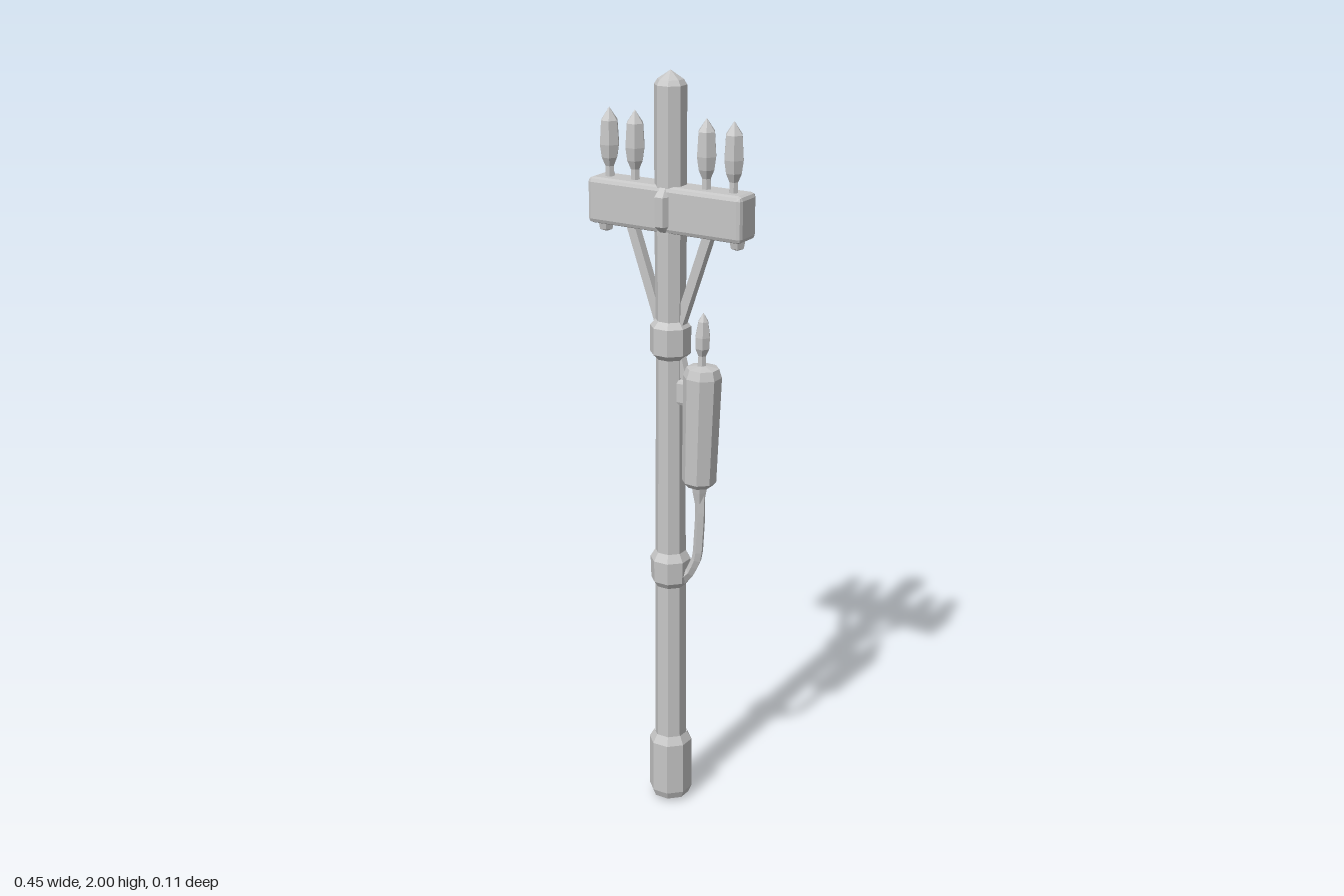
import * as THREE from 'three';
import { RoundedBoxGeometry } from 'three/addons/geometries/RoundedBoxGeometry.js';

export function createModel() {
  const model = new THREE.Group();
  model.name = 'utilityPole';
  const grey = new THREE.MeshStandardMaterial({ color: 0xc6c6c6, flatShading: true });
  grey.name = 'lightGrey';

  const add = (name, geometry, x = 0, y = 0, z = 0, parent = model) => {
    const mesh = new THREE.Mesh(geometry, grey);
    mesh.name = name;
    mesh.position.set(x, y, z);
    parent.add(mesh);
    return mesh;
  };
  // Faceted turned part from [radius, height] pairs, listed bottom to top
  const turned = (profile, sides = 8) => new THREE.LatheGeometry(
    profile.map(([r, y]) => new THREE.Vector2(r, y)), sides, Math.PI / sides);
  // Straight bar between two points
  const bar = (name, a, b, radius, sides = 4) => {
    const from = new THREE.Vector3(...a), to = new THREE.Vector3(...b);
    const mesh = add(name, new THREE.CylinderGeometry(radius, radius, from.distanceTo(to), sides, 1, false, Math.PI / sides));
    mesh.position.copy(from).add(to).multiplyScalar(0.5);
    mesh.quaternion.setFromUnitVectors(new THREE.Vector3(0, 1, 0), to.sub(from).normalize());
    return mesh;
  };

  // Tall post with a pointed cap
  add('post', turned([[0, 0.1], [0.043, 0.1], [0.041, 0.65], [0.038, 1.3], [0.041, 1.6], [0.041, 1.965], [0.033, 1.978], [0, 2]]));

  // Foot sleeve and the two collars
  add('foot', turned([[0, 0], [0.05, 0.01], [0.058, 0.03], [0.058, 0.175], [0.045, 0.198]]));
  add('lowerCollar', turned([[0.038, 0.635], [0.052, 0.655], [0.054, 0.715], [0.04, 0.738]]));
  add('upperCollar', turned([[0.038, 1.27], [0.053, 1.285], [0.053, 1.355], [0.038, 1.372]]));

  // Crossarm with its centre clamp
  add('crossarm', new RoundedBoxGeometry(0.446, 0.118, 0.082, 1, 0.012), 0, 1.66, 0);
  add('crossarmClamp', turned([[0.035, 1.598], [0.06, 1.62], [0.062, 1.695], [0.035, 1.722]])).scale.x = 0.5;

  // Insulators: four on the crossarm
  const insulator = () => turned([[0.013, -0.01], [0.012, 0.03], [0.022, 0.052], [0.027, 0.085], [0.023, 0.145], [0, 0.178]], 6);
  for (const x of [-0.18, -0.104, 0.103, 0.18]) add('insulator', insulator(), x, 1.715, 0);

  // Diagonal braces and the bolts under the arm ends
  for (const side of [-1, 1]) {
    bar('brace', [side * 0.025, 1.35, 0], [side * 0.118, 1.62, 0], 0.017);
    add('armBolt', turned([[0, -0.025], [0.018, -0.018], [0.026, 0.02]], 6), side * 0.192, 1.6, 0);
  }

  // Transformer can, leaning slightly, with its own insulator
  const transformer = new THREE.Group();
  transformer.name = 'transformer';
  transformer.position.set(0.091, 1.1, 0);
  transformer.rotation.z = -0.03;
  model.add(transformer);
  add('transformerCan', turned([[0, -0.165], [0.034, -0.163], [0.045, -0.15], [0.05, 0.135], [0.042, 0.158], [0, 0.166]]), 0, 0, 0, transformer);
  add('transformerInsulator', turned([[0.013, -0.01], [0.011, 0.03], [0.02, 0.05], [0.021, 0.08], [0.014, 0.12], [0, 0.143]], 6), -0.003, 0.16, 0, transformer);

  // Brackets holding the can to the post
  add('upperBracket', new RoundedBoxGeometry(0.05, 0.07, 0.04, 1, 0.01), 0.045, 1.185, 0);
  bar('bracketStrut', [0.028, 1.29, 0], [0.05, 1.2, 0], 0.014, 5);

  // Cable from the can down to the lower collar
  const path = new THREE.CurvePath();
  const points = [[0.09, 0.955], [0.091, 0.85], [0.084, 0.735], [0.065, 0.69], [0.03, 0.652]]
    .map(([x, y]) => new THREE.Vector3(x, y, 0));
  for (let i = 1; i < points.length; i++) path.add(new THREE.LineCurve3(points[i - 1], points[i]));
  add('cable', new THREE.TubeGeometry(path, 14, 0.014, 5));
  add('cableSocket', turned([[0.014, 0.89], [0.02, 0.92], [0.024, 0.945]], 6), 0.088, 0, 0);

  return model;
}
